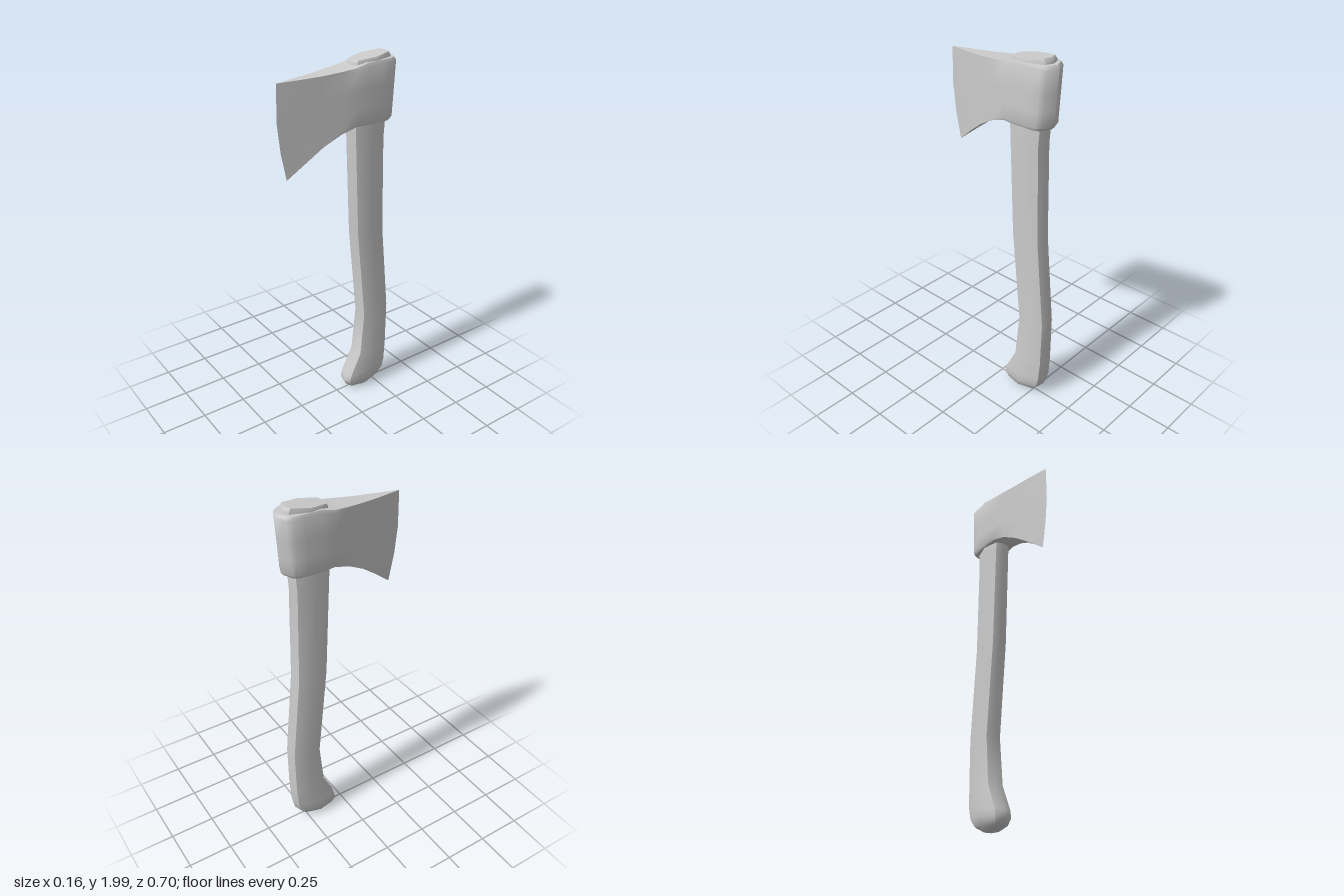
import * as THREE from 'three';
import { toCreasedNormals } from 'three/addons/utils/BufferGeometryUtils.js';

// Skin a stack of rings (bottom to top). Each ring starts at the front (+z),
// runs towards +x and mirrors itself, so the caps are strips across x.
function loft(rings, crease) {
  const n = rings[0].length;
  const index = [];
  for (let r = 0; r < rings.length - 1; r++) {
    for (let i = 0; i < n; i++) {
      const a = r * n + i, b = r * n + (i + 1) % n;
      index.push(a, b, b + n, a, b + n, a + n);
    }
  }
  const top = (rings.length - 1) * n;
  const capTriangle = (a, b, c) => {
    if (a === b || b === c || a === c) return;
    index.push(a, c, b, top + a, top + b, top + c);
  };
  for (let i = 0; i < n / 2; i++) {
    capTriangle(i, i + 1, n - i - 1);
    capTriangle(i, n - i - 1, (n - i) % n);
  }
  const geometry = new THREE.BufferGeometry();
  geometry.setAttribute('position', new THREE.Float32BufferAttribute(rings.flat(2), 3));
  geometry.setIndex(index);
  return toCreasedNormals(geometry, crease);
}

// Handle: eight-sided oval sections [front z, front y, back z, back y, half width]
function handleGeometry() {
  const sections = [
    [-0.11, 0.008, -0.215, 0.008, 0.035],
    [-0.07, 0.025, -0.28, 0.04, 0.06],
    [-0.047, 0.06, -0.318, 0.085, 0.072],
    [-0.056, 0.1, -0.331, 0.14, 0.073],
    [-0.127, 0.24, -0.335, 0.25, 0.07],
    [-0.153, 0.5, -0.338, 0.52, 0.066],
    [-0.1, 1.03, -0.29, 1.03, 0.066],
    [-0.075, 1.63, -0.28, 1.55, 0.066],
    [-0.077, 1.96, -0.312, 1.98, 0.068],
    [-0.085, 1.973, -0.3, 1.998, 0.063],
  ];
  const oval = [[0, 1], [0.64, 0.88], [1, 0], [0.64, -0.88], [0, -1], [-0.64, -0.88], [-1, 0], [-0.64, 0.88]];
  const rings = sections.map(([zf, yf, zb, yb, w]) => oval.map(([u, v]) => {
    const t = (1 - v) / 2;
    return [u * w, THREE.MathUtils.lerp(yf, yb, t), THREE.MathUtils.lerp(zf, zb, t)];
  }));
  return loft(rings, 0.85);
}

// Head: columns from cutting edge to poll
// [top z, top y, bottom z, bottom y, top half width, bottom half width]
function headGeometry() {
  const columns = [
    [0.345, 1.922, 0.303, 1.43, 0, 0],
    [0.2, 1.927, 0.2, 1.512, 0.029, 0.027],
    [0.11, 1.931, 0.11, 1.577, 0.044, 0.043],
    [0.0, 1.94, 0.016, 1.627, 0.062, 0.06],
    [-0.07, 1.948, -0.07, 1.652, 0.075, 0.074],
    [-0.14, 1.965, -0.13, 1.652, 0.076, 0.08],
    [-0.23, 1.968, -0.225, 1.652, 0.076, 0.081],
    [-0.293, 1.97, -0.28, 1.652, 0.075, 0.075],
    [-0.322, 1.97, -0.303, 1.652, 0.059, 0.059],
    [-0.348, 1.97, -0.328, 1.652, 0, 0],
  ];
  // Heights up the head, with a small bevel around the eye at both ends
  const rows = [[0, 0.9], [0.05, 1], [0.3, 1], [0.6, 1], [0.95, 1], [1, 0.92]];
  const eyeZ = -0.19;
  const rings = rows.map(([t, inset]) => {
    const half = columns.map(([zt, yt, zb, yb, wt, wb], i) => {
      const s = i > 3 ? inset : 1;
      let z = THREE.MathUtils.lerp(zb, zt, t);
      if (i === 0) z += 0.022 * Math.sin(Math.PI * t); // bowed cutting edge
      if (i > 5) z = eyeZ + (z - eyeZ) * s;
      return [THREE.MathUtils.lerp(wb, wt, t) * s, THREE.MathUtils.lerp(yb, yt, t), z];
    });
    const mirrored = half.slice(1, -1).reverse().map(([x, y, z]) => [-x, y, z]);
    return [...half, ...mirrored];
  });
  return loft(rings, 0.75);
}

export function createModel() {
  const group = new THREE.Group();
  group.name = 'axe';
  const material = new THREE.MeshStandardMaterial({ color: 0xcccccc });
  const parts = { handle: handleGeometry(), axeHead: headGeometry() };
  for (const [name, geometry] of Object.entries(parts)) {
    const mesh = new THREE.Mesh(geometry, material);
    mesh.name = name;
    group.add(mesh);
  }
  return group;
}
